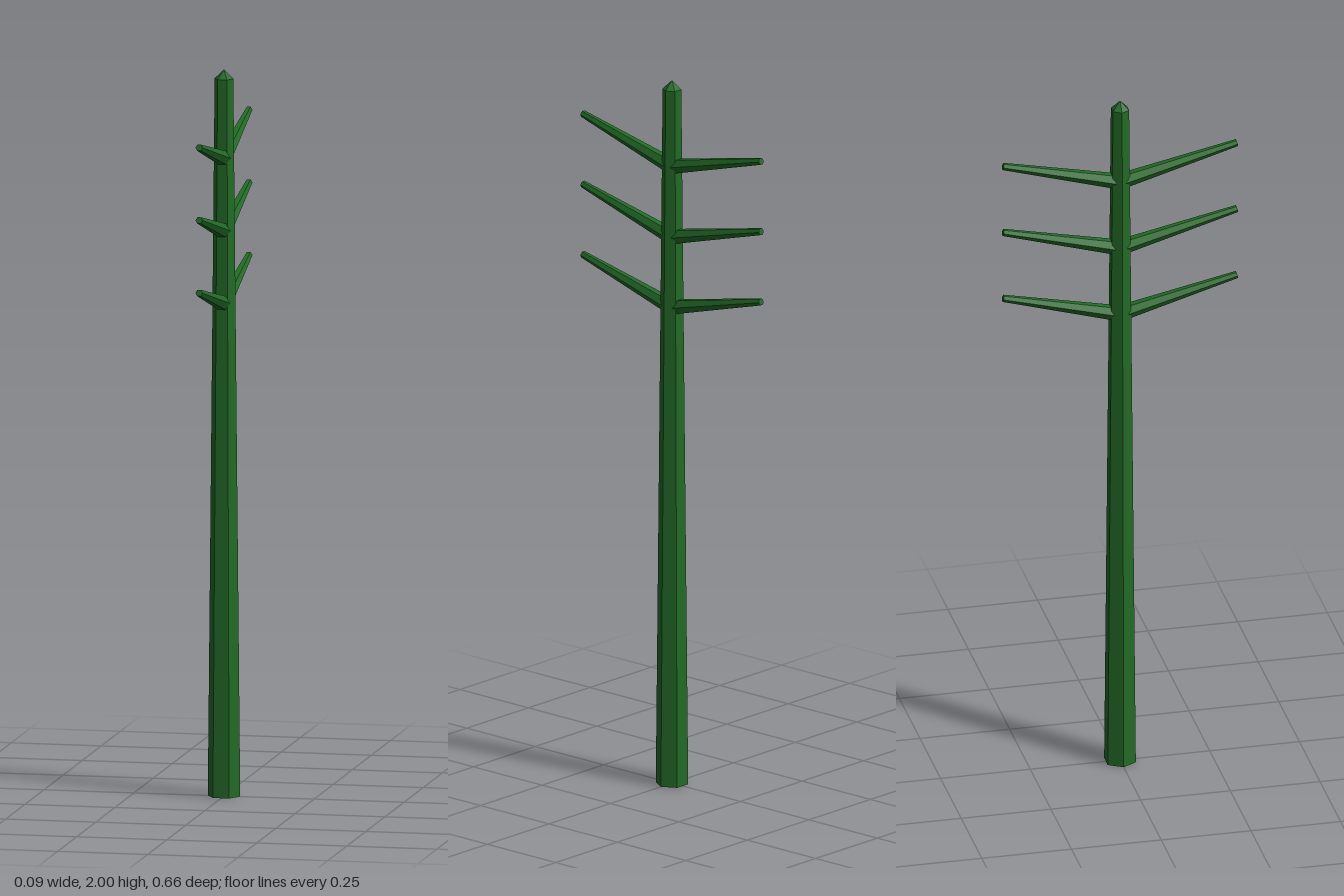
import * as THREE from 'three';

export function createModel() {
  const model = new THREE.Group();
  const green = new THREE.MeshStandardMaterial({ color: 0x226b26, flatShading: true });

  // Six-sided tapered bar with corners on the x axis
  const bar = (top, bottom, height) =>
    new THREE.CylinderGeometry(top, bottom, height, 6, 1, false, Math.PI / 2);

  const add = (name, geometry) => {
    const mesh = new THREE.Mesh(geometry, green);
    mesh.name = name;
    model.add(mesh);
    return mesh;
  };

  // Tapered trunk and its pointed cap
  const capBase = 1.975;
  add('trunk', bar(0.026, 0.045, capBase)).position.y = capBase / 2;
  const cap = new THREE.ConeGeometry(0.026, 2 - capBase, 6, 1, true, Math.PI / 2);
  add('cap', cap).position.y = (2 + capBase) / 2;

  // Three pairs of arms rising towards the front and back
  const reach = 0.326, rise = 0.082;
  const length = Math.hypot(reach, rise);
  for (const y of [1.355, 1.555, 1.755]) {
    for (const side of [1, -1]) {
      const arm = add(side > 0 ? 'frontArm' : 'backArm', bar(0.01, 0.022, length));
      arm.position.set(0, y + rise / 2, side * reach / 2);
      arm.rotation.x = side * Math.atan2(reach, rise);
    }
  }
  return model;
}
